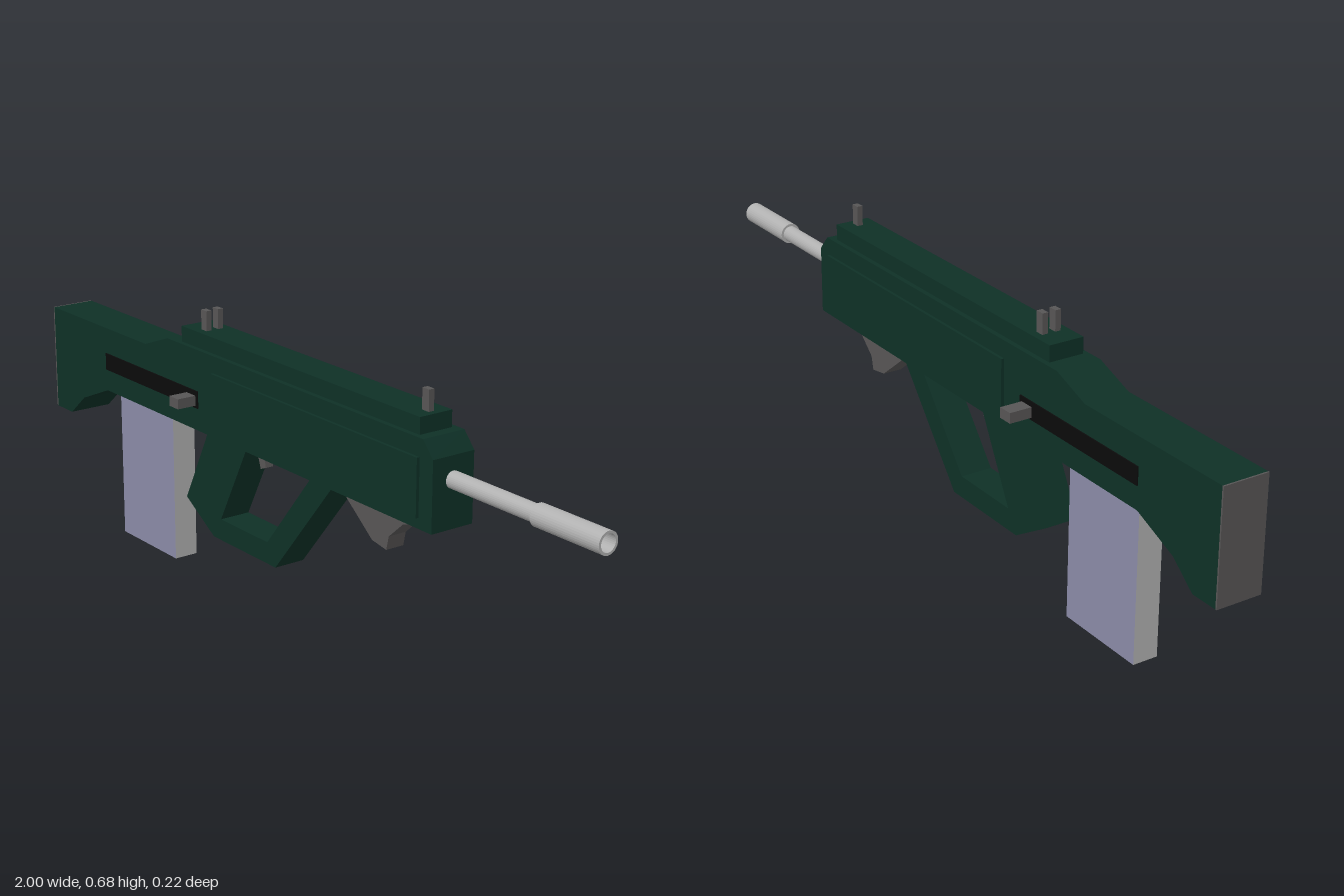
import * as THREE from 'three';

const ZC = 0.003; // centre plane of the assembly

const mat = (name, color) => {
  const m = new THREE.MeshStandardMaterial({ color });
  m.name = name;
  return m;
};

export function createModel() {
  const model = new THREE.Group();
  model.name = 'rifle';

  const green = mat('dark green', 0x0e3026);
  const steel = mat('light steel', 0xb0b0b0);
  const gray = mat('dark gray', 0x575555);
  const black = mat('black', 0x0b0b0b);
  const lilac = mat('lilac gray', 0x8a8aa6);

  const add = (name, geometry, material) => {
    const mesh = new THREE.Mesh(geometry, material);
    mesh.name = name;
    model.add(mesh);
    return mesh;
  };

  // Box given by its extents
  const box = (name, x0, x1, y0, y1, z0, z1, material) => {
    const mesh = add(name, new THREE.BoxGeometry(x1 - x0, y1 - y0, z1 - z0), material);
    mesh.position.set((x0 + x1) / 2, (y0 + y1) / 2, (z0 + z1) / 2);
    return mesh;
  };

  // Side profile extruded across the width
  const slab = (name, points, width, material, hole) => {
    const toVectors = (list) => list.map(([x, y]) => new THREE.Vector2(x, y));
    const shape = new THREE.Shape(toVectors(points));
    if (hole) shape.holes.push(new THREE.Path(toVectors(hole)));
    const geometry = new THREE.ExtrudeGeometry(shape, { depth: width, bevelEnabled: false });
    geometry.translate(0, 0, ZC - width / 2);
    return add(name, geometry, material);
  };

  // Body and stock in one profile
  slab('body', [
    [-0.996, 0.55], [-0.996, 0.28], [-0.925, 0.28], [-0.86, 0.335], [-0.74, 0.385],
    [0.543, 0.385], [0.543, 0.55], [0.51, 0.587], [-0.455, 0.587], [-0.555, 0.55],
  ], 0.113, green);
  box('buttPlate', -1, -0.996, 0.28, 0.55, ZC - 0.0565, ZC + 0.0565, gray);

  // Raised panels, slots on both sides
  for (const side of [1, -1]) {
    const span = (a, b) => [ZC + side * a, ZC + side * b].sort((p, q) => p - q);
    box('sidePanel', -0.26, 0.5, 0.41, 0.545, ...span(0.05, 0.064), green);
    box('handleSlot', -0.74, -0.325, 0.441, 0.484, ...span(0.055, 0.0595), black);
  }
  box('chargingHandle', -0.37, -0.333, 0.447, 0.472, -0.1125, 0.1125, gray);

  // Top rail and sights
  box('topRail', -0.41, 0.484, 0.58, 0.626, ZC - 0.044, ZC + 0.044, green);
  for (const z of [0.0195, -0.014]) {
    box('rearSight', -0.355, -0.333, 0.62, 0.675, z - 0.0072, z + 0.0072, gray);
  }
  box('frontSight', 0.446, 0.468, 0.62, 0.675, ZC - 0.0072, ZC + 0.0072, gray);

  // Grip with its open guard
  slab('gripAndGuard', [
    [-0.306, 0.388], [-0.406, 0.19], [-0.29, 0.12], [-0.035, 0.12], [0.187, 0.388],
  ], 0.081, green, [
    [-0.147, 0.386], [0.106, 0.386], [-0.067, 0.174], [-0.258, 0.174],
  ]);

  slab('trigger', [
    [-0.152, 0.39], [-0.133, 0.332], [-0.113, 0.34], [-0.12, 0.39],
  ], 0.022, gray);

  slab('frontHandStop', [
    [0.185, 0.386], [0.305, 0.292], [0.355, 0.284], [0.363, 0.318], [0.41, 0.36], [0.495, 0.386],
  ], 0.048, gray);

  // Magazine: gray narrow ends, lilac sides and bottom
  box('magazine', -0.717, -0.476, 0, 0.388, ZC - 0.0315, ZC + 0.0315,
    [steel, steel, lilac, lilac, lilac, lilac]);

  // Barrel and wider muzzle with a shallow bore, turned around x
  const lathe = (name, profile) => {
    const points = profile.map(([r, x]) => new THREE.Vector2(r, x));
    const geometry = new THREE.LatheGeometry(points, 32).toNonIndexed();
    geometry.computeVertexNormals();
    geometry.rotateZ(-Math.PI / 2);
    const mesh = add(name, geometry, steel);
    mesh.position.set(0, 0.496, ZC);
    return mesh;
  };
  lathe('barrel', [[0.02, 0.5], [0.02, 0.81]]);
  lathe('muzzle', [
    [0.019, 0.805], [0.026, 0.805], [0.026, 1], [0.02, 1], [0.02, 0.96], [0, 0.96],
  ]);

  return model;
}
